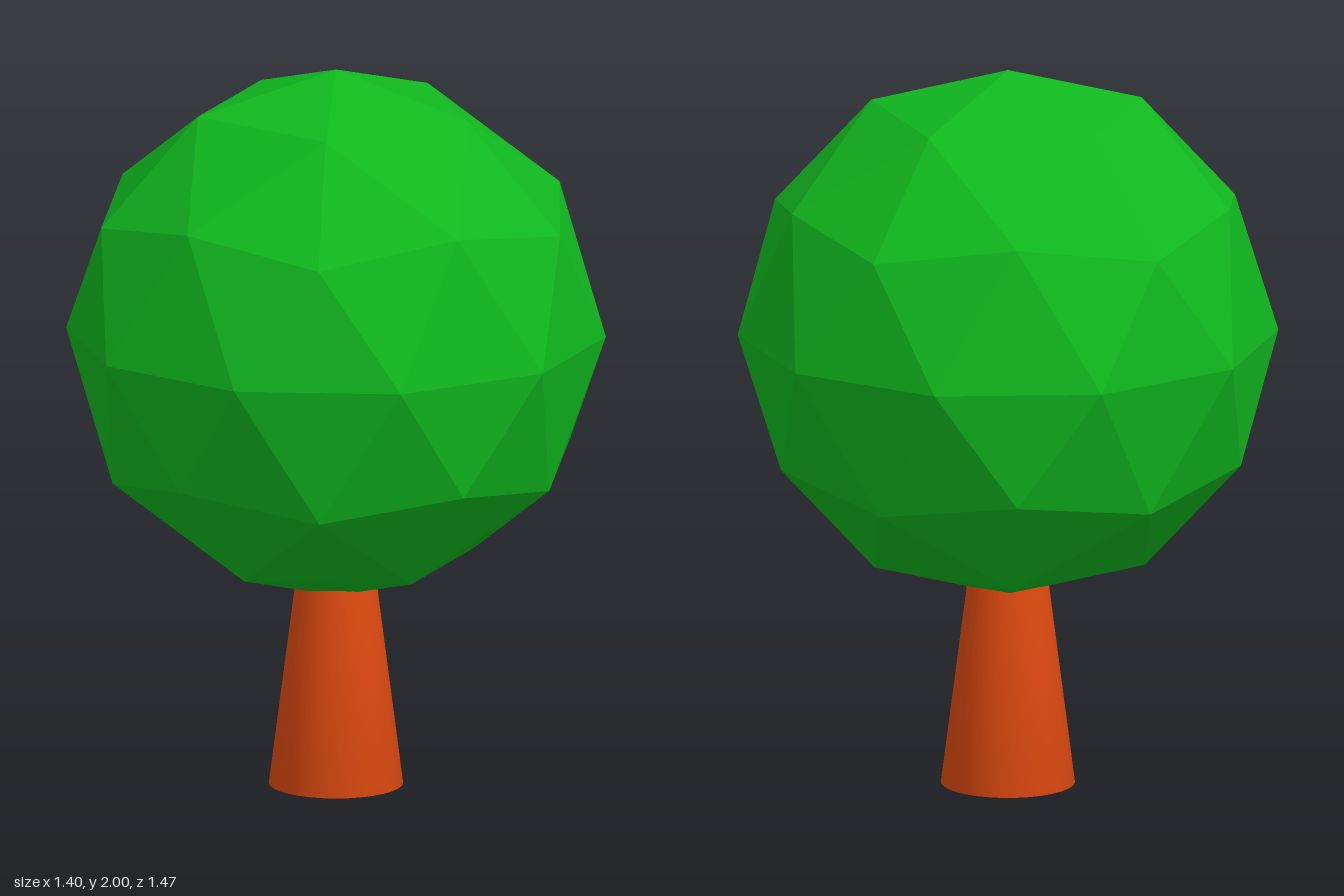
import * as THREE from 'three';
import { mergeVertices } from 'three/addons/utils/BufferGeometryUtils.js';

export function createModel() {
  const tree = new THREE.Group();
  tree.name = 'tree';

  // Crown: once-subdivided icosahedron, turned so a corner points straight up
  const crownRadius = 0.737;
  const crownGeometry = new THREE.IcosahedronGeometry(crownRadius, 1);
  crownGeometry.rotateZ(-Math.atan(2 / (1 + Math.sqrt(5))));
  const crown = new THREE.Mesh(
    crownGeometry,
    new THREE.MeshStandardMaterial({ color: 0x10b81e, flatShading: true })
  );
  crown.name = 'crown';
  crown.position.y = 2 - crownRadius;
  tree.add(crown);

  // Trunk: tapered, closed, softly shaded across its rims; its top is buried in the crown
  const trunkHeight = 0.74;
  let trunkGeometry = new THREE.CylinderGeometry(0.088, 0.183, trunkHeight, 32);
  trunkGeometry.deleteAttribute('normal');
  trunkGeometry.deleteAttribute('uv');
  trunkGeometry = mergeVertices(trunkGeometry);
  trunkGeometry.computeVertexNormals();
  const trunk = new THREE.Mesh(
    trunkGeometry,
    new THREE.MeshStandardMaterial({ color: 0xe04a10 })
  );
  trunk.name = 'trunk';
  trunk.position.y = trunkHeight / 2;
  tree.add(trunk);

  return tree;
}
